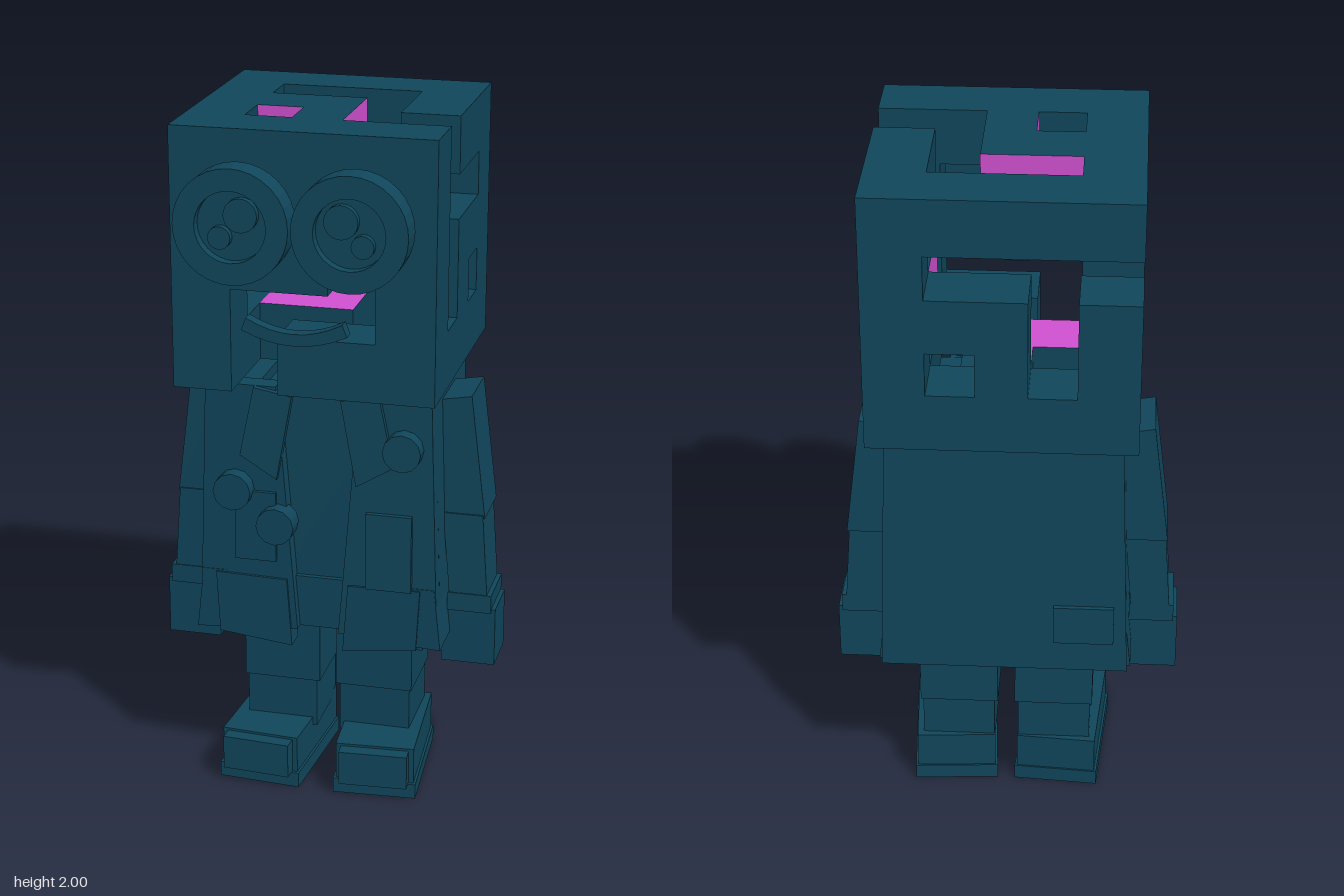
import * as THREE from 'three';

const mat = (name, color) => {
  const m = new THREE.MeshStandardMaterial({ color });
  m.name = name;
  return m;
};

export function createModel() {
  const root = new THREE.Group();
  root.name = 'mazeHeadFigure';
  const teal = mat('deepTeal', 0x10465b);
  const magenta = mat('magentaLining', 0xd050d0);

  const add = (name, geo, parent = root, material = teal) => {
    const m = new THREE.Mesh(geo, material);
    m.name = name;
    parent.add(m);
    return m;
  };
  // Box given by its limits on each axis
  const box = (name, x0, x1, y0, y1, z0, z1, parent) => {
    const g = new THREE.BoxGeometry(x1 - x0, y1 - y0, z1 - z0);
    g.translate((x0 + x1) / 2, (y0 + y1) / 2, (z0 + z1) / 2);
    return add(name, g, parent);
  };
  // Flat outline in x, y pushed from z0 to z1
  const plate = (name, pts, z0, z1, parent) => {
    const s = new THREE.Shape(pts.map(([x, y]) => new THREE.Vector2(x, y)));
    const g = new THREE.ExtrudeGeometry(s, { depth: z1 - z0, bevelEnabled: false });
    g.translate(0, 0, z0);
    return add(name, g, parent);
  };
  // Round disc facing forward
  const disc = (name, x, y, r, z0, z1, sides = 32, parent = root) => {
    const g = new THREE.CylinderGeometry(r, r, z1 - z0, sides);
    g.rotateX(Math.PI / 2);
    g.translate(x, y, (z0 + z1) / 2);
    return add(name, g, parent);
  };

  // Head: hollow 5 x 5 x 5 block with maze slots cut in every wall
  const lines = [
    [-0.365, -0.2, -0.07, 0.07, 0.2, 0.365],
    [1.27, 1.435, 1.56, 1.715, 1.84, 2],
    [-0.43, -0.265, -0.148, 0.01, 0.135, 0.3],
  ];
  const inner = (v) => v > 0 && v < 4;
  const open = new Set();
  const cut = (list) => list.split(' ').forEach((c) => open.add(c));
  for (let i = 1; i < 4; i++) for (let j = 1; j < 4; j++) for (let k = 1; k < 4; k++) open.add(`${i}${j}${k}`);
  cut('114 214 314 324 334 134 104');      // front
  cut('130 230 330 030 120 110 310');      // back
  cut('413 423 433 443 432 431 411');      // left side
  cut('011 012 013 021 031 033');          // right side
  cut('141 241 341 342 343 143');          // top
  cut('103 203 303 302 301 101');          // bottom
  const solid = (c) => c.every((v) => v >= 0 && v < 5) && !open.has(c.join(''));
  const faces = [[], []];
  for (let n = 0; n < 125; n++) {
    const c = [Math.floor(n / 25), Math.floor(n / 5) % 5, n % 5];
    if (!solid(c)) continue;
    for (let a = 0; a < 3; a++) for (const d of [0, 1]) {
      const nb = c.slice();
      nb[a] += d ? 1 : -1;
      if (solid(nb)) continue;
      const b = (a + 1) % 3, e = (a + 2) % 3;
      const corner = (u, v) => {
        const p = [0, 0, 0];
        p[a] = lines[a][c[a] + d];
        p[b] = lines[b][c[b] + u];
        p[e] = lines[e][c[e] + v];
        return p;
      };
      const q = [corner(0, 0), corner(1, 0), corner(1, 1), corner(0, 1)];
      if (!d) q.reverse();
      // lining: cavity walls and the core edges of the top slots
      const cavity = nb.every(inner);
      const topCore = a !== 1 && c[1] === 4 && inner(c[0]) && inner(c[2]) && inner(nb[a]);
      faces[cavity || topCore ? 1 : 0].push(...q[0], ...q[1], ...q[2], ...q[0], ...q[2], ...q[3]);
    }
  }
  ['headShell', 'headLining'].forEach((name, i) => {
    const g = new THREE.BufferGeometry();
    g.setAttribute('position', new THREE.Float32BufferAttribute(faces[i], 3));
    g.computeVertexNormals();
    add(name, g, root, i ? magenta : teal);
  });

  // Eyes: raised rim, sunken disc and two highlights, floating before the face
  for (const s of [-1, 1]) {
    const eye = new THREE.Group();
    eye.name = s > 0 ? 'leftEye' : 'rightEye';
    root.add(eye);
    const ring = new THREE.Shape().absarc(0.16 * s, 1.768, 0.157, 0, Math.PI * 2);
    ring.holes.push(new THREE.Path().absarc(0.16 * s, 1.768, 0.097, 0, Math.PI * 2, true));
    const rim = new THREE.ExtrudeGeometry(ring, { depth: 0.08, bevelEnabled: false, curveSegments: 16 });
    rim.translate(0, 0, 0.35);
    add('eyeRim', rim, eye);
    disc('iris', 0.16 * s, 1.768, 0.1, 0.352, 0.4, 32, eye);
    disc('largeHighlight', 0.135 * s, 1.798, 0.046, 0.39, 0.42, 24, eye);
    disc('smallHighlight', 0.193 * s, 1.735, 0.031, 0.39, 0.42, 24, eye);
  }

  // Smile: thin curved band
  const upper = [], lower = [];
  for (let i = 0; i <= 8; i++) {
    const t = i / 4 - 1;
    upper.push([0.132 * t, 1.476 + 0.036 * t * t]);
    lower.unshift([0.145 * t, 1.443 + 0.035 * t * t]);
  }
  plate('smile', [...lower, ...upper], 0.35, 0.388);

  // Neck and torso
  box('neck', -0.135, 0.135, 1.2, 1.32, -0.2, 0.04);
  box('shirt', -0.2, 0.2, 0.5, 1.2, -0.2, 0.095);
  box('belt', -0.1, 0.1, 0.5, 0.655, -0.2, 0.11);
  plate('coatBack', [[-0.35, 0.49], [0.35, 0.49], [0.325, 1.235], [-0.325, 1.235]], -0.33, -0.18);
  box('backPatch', -0.31, -0.14, 0.59, 0.71, -0.343, -0.33);

  for (const s of [-1, 1]) {
    const side = new THREE.Group();
    side.name = s > 0 ? 'leftHalf' : 'rightHalf';
    root.add(side);
    const sp = (name, pts, z0, z1) => plate(name, pts.map(([x, y]) => [x * s, y]), z0, z1, side);
    const sb = (name, x0, x1, ...r) => box(name, Math.min(x0 * s, x1 * s), Math.max(x0 * s, x1 * s), ...r, side);

    // Coat side, front panel, lapel and hem
    sp('coatSide', [[0.18, 0.5], [0.35, 0.5], [0.325, 1.23], [0.18, 1.23]], -0.2, 0.09);
    sp('coatFront', [[0.06, 0.5], [0.35, 0.49], [0.325, 1.235], [0.12, 1.235]], 0.08, 0.14);
    sp('lapel', [[0.07, 1.215], [0.18, 1.235], [0.222, 1.03], [0.115, 0.965]], 0.13, 0.158);
    sp('hemFront', [[0.075, 0.45], [0.29, 0.475], [0.3, 0.66], [0.09, 0.655]], 0.08, 0.148);
    sp('hemSide', [[0.27, 0.485], [0.36, 0.48], [0.34, 0.665], [0.27, 0.665]], -0.29, 0.142);
    sb('hemUnderside', 0.1, 0.3, 0.455, 0.51, -0.28, 0.1);

    // Arm: sleeve, cuff and hand
    sp('upperSleeve', [[0.33, 0.84], [0.455, 0.84], [0.41, 1.205], [0.325, 1.19]], -0.18, 0);
    sp('lowerSleeve', [[0.36, 0.56], [0.47, 0.56], [0.45, 0.85], [0.335, 0.85]], -0.16, 0.005);
    sb('hand', 0.335, 0.492, 0.385, 0.56, -0.152, 0);
    sb('cuff', 0.352, 0.48, 0.55, 0.605, -0.16, 0.008);

    // Leg
    sb('trouserLeg', 0.025, 0.252, 0.28, 0.51, -0.215, 0.02);
    sb('ankle', 0.035, 0.245, 0.13, 0.29, -0.208, 0.014);

    // Shoe, toes turned slightly outwards
    const shoe = new THREE.Group();
    shoe.name = 'shoe';
    shoe.position.set(0.16 * s, 0, -0.04);
    shoe.rotation.y = 0.07 * s;
    side.add(shoe);
    box('sole', -0.122, 0.122, 0, 0.045, -0.188, 0.2, shoe);
    box('shoeUpper', -0.115, 0.115, 0.04, 0.155, -0.183, 0.19, shoe);
    box('toeCap', -0.1, 0.1, 0.045, 0.148, 0.18, 0.232, shoe);
  }

  // Pockets and buttons
  box('leftPocket', 0.143, 0.275, 0.655, 0.885, 0.135, 0.155);
  box('rightPocket', -0.24, -0.12, 0.71, 0.92, 0.135, 0.152);
  [[-0.24, 0.925], [-0.115, 0.83], [0.25, 1.085]].forEach(([x, y]) => disc('button', x, y, 0.055, 0.12, 0.185, 12));

  return root;
}
